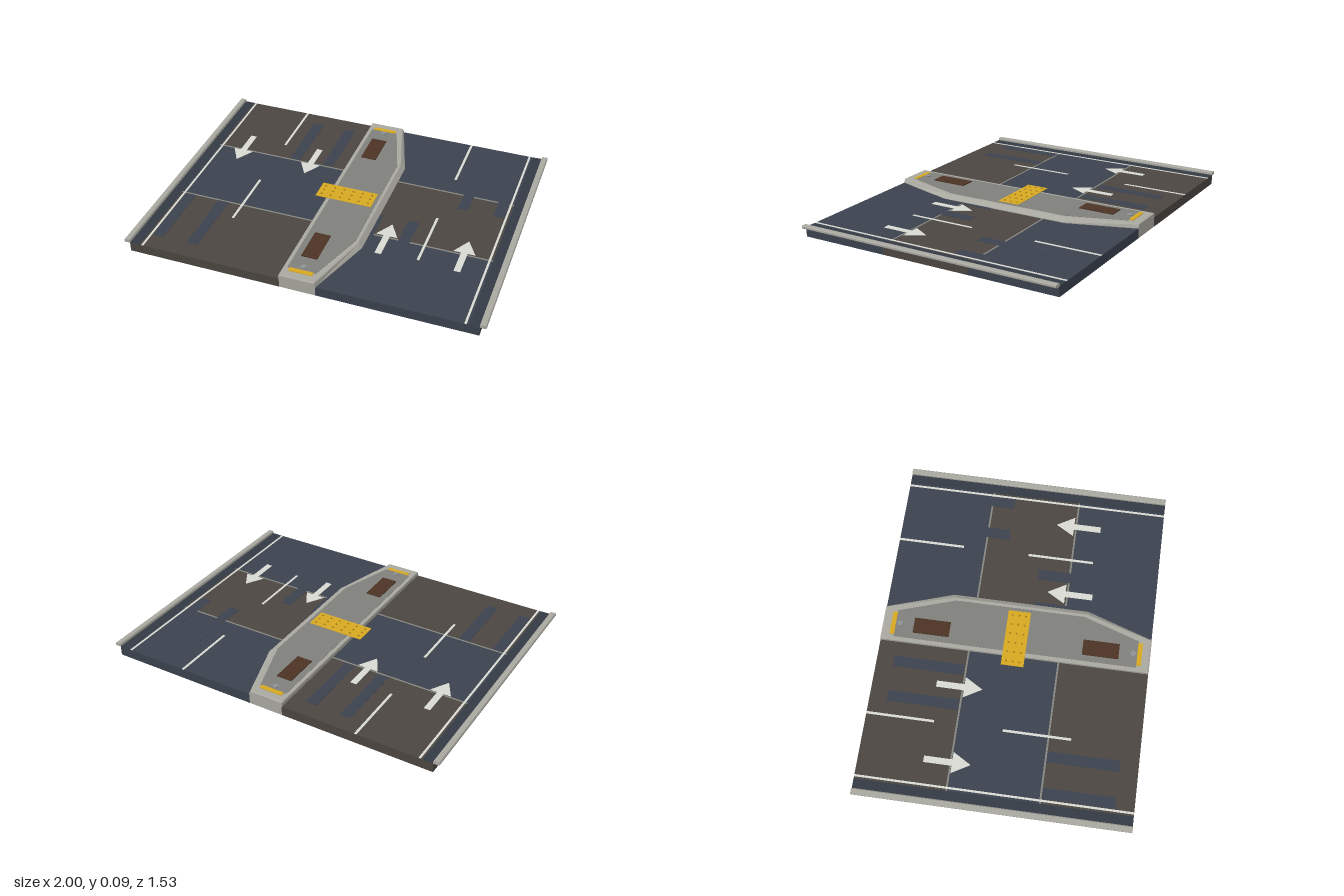
import * as THREE from 'three';

const mat = (color) => new THREE.MeshStandardMaterial({ color, side: THREE.FrontSide });
const BLUE = mat(0x3b424e), BROWN = mat(0x4b4641), KERB = mat(0xa9a8a0), PAVING = mat(0x7f807b);
const YELLOW = mat(0xd6a822), STUD = mat(0xa87f18), SOIL = mat(0x4c3325), PAINT = mat(0xd8d9d2);
const SEAM = mat(0x85857f), GUTTER = mat(0x343a45), METAL = mat(0x8d9294);

const HALF_Z = 0.763, ROAD = 0.055, TOP = 0.08;

export function createModel() {
  const model = new THREE.Group();
  model.name = 'roadSection';

  const add = (name, geometry, material) => {
    const mesh = new THREE.Mesh(geometry, material);
    mesh.name = name;
    model.add(mesh);
    return mesh;
  };
  // Box given by its limits on each axis
  const box = (name, material, x0, x1, y0, y1, z0, z1) => {
    const mesh = add(name, new THREE.BoxGeometry(x1 - x0, y1 - y0, z1 - z0), material);
    mesh.position.set((x0 + x1) / 2, (y0 + y1) / 2, (z0 + z1) / 2);
    return mesh;
  };
  // Flat-sided solid from stacked convex rings of [x, z], clockwise from above
  const stack = (name, material, rings) => {
    const p = [];
    const n = rings[0].points.length;
    const put = (r, i) => p.push(rings[r].points[i % n][0], rings[r].y, rings[r].points[i % n][1]);
    for (let r = 0; r < rings.length - 1; r++) {
      for (let i = 0; i < n; i++) {
        put(r, i + 1); put(r, i); put(r + 1, i);
        put(r, i + 1); put(r + 1, i); put(r + 1, i + 1);
      }
    }
    const last = rings.length - 1;
    for (let i = 1; i < n - 1; i++) {
      put(last, 0); put(last, i + 1); put(last, i);
      put(0, 0); put(0, i); put(0, i + 1);
    }
    const g = new THREE.BufferGeometry();
    g.setAttribute('position', new THREE.Float32BufferAttribute(p, 3));
    g.computeVertexNormals();
    return add(name, g, material);
  };

  // Road slabs in alternating colours on both sides of the median
  const cuts = [-HALF_Z, -0.255, 0.255, HALF_Z];
  for (const side of [-1, 1]) {
    for (let i = 0; i < 3; i++) {
      const brown = (i % 2 === 0) === (side < 0);
      const [a, b] = side < 0 ? [-0.967, -0.1] : [0.1, 0.967];
      box('roadSlab', brown ? BROWN : BLUE, a, b, 0, ROAD, cuts[i], cuts[i + 1]);
    }
    // Joints between slabs
    for (const z of [-0.255, 0.255]) {
      const [a, b] = side < 0 ? [-0.91, -0.1] : [0.1, 0.91];
      box('slabJoint', SEAM, a, b, ROAD - 0.002, ROAD + 0.001, z - 0.005, z + 0.005);
    }
    // Gutter, edge line and lane dashes
    const g = side * 0.938, e = side * 0.893, d = side * 0.535;
    box('gutter', GUTTER, g - 0.028, g + 0.028, ROAD - 0.002, ROAD + 0.001, -HALF_Z, HALF_Z);
    box('edgeLine', PAINT, e - 0.006, e + 0.006, ROAD, ROAD + 0.002, -HALF_Z, HALF_Z);
    for (const z of [-HALF_Z, 0]) {
      box('laneDash', PAINT, d - 0.007, d + 0.007, ROAD, ROAD + 0.002, z, z + 0.38);
    }
    // Outer kerb with bevelled upper edges
    const kerb = new THREE.Shape([
      [0.965, 0.053], [0.994, 0.053], [1, 0.058], [1, 0.067], [0.995, 0.072], [0.971, 0.072], [0.965, 0.067],
    ].map(([x, y]) => new THREE.Vector2(x, y)));
    const kg = new THREE.ExtrudeGeometry(kerb, { depth: 2 * HALF_Z, bevelEnabled: false });
    kg.translate(0, 0, -HALF_Z);
    if (side < 0) kg.rotateY(Math.PI);
    add('outerKerb', kg, KERB);
  }

  // Repair patches in the wheel tracks: centre x, centre z
  for (const [x, z] of [[-0.422, -0.465], [-0.217, -0.465], [-0.852, 0.46], [-0.648, 0.46],
    [0.648, -0.325], [0.852, -0.325], [0.42, 0.275], [0.215, 0.275]]) {
    box('roadPatch', BLUE, x - 0.031, x + 0.031, ROAD - 0.002, ROAD + 0.0016, z - 0.2, z + 0.2);
  }

  // Direction arrows
  const arrow = new THREE.Shape([
    [0, 0.13], [0.06, 0.027], [0.018, 0.027], [0.018, -0.13], [-0.018, -0.13], [-0.018, 0.027], [-0.06, 0.027],
  ].map(([x, y]) => new THREE.Vector2(x, y)));
  const arrowGeo = new THREE.ExtrudeGeometry(arrow, { depth: 0.002, bevelEnabled: false });
  arrowGeo.rotateX(-Math.PI / 2);
  for (const x of [-0.752, -0.318, 0.318, 0.752]) {
    const mesh = add('directionArrow', arrowGeo, PAINT);
    mesh.position.set(x, ROAD + 0.001, x < 0 ? -0.275 : 0.27);
    if (x < 0) mesh.rotation.y = Math.PI;
  }

  // Median: footing, island with sloped edge, inset paving
  const outline = (left, end, right, endZ, wideZ) => [
    [left, -endZ], [end, -endZ], [right, -wideZ], [right, wideZ], [end, endZ], [left, endZ],
  ];
  box('medianFooting', KERB, -0.1, 0.1, 0, ROAD, -HALF_Z, HALF_Z);
  stack('medianIsland', KERB, [
    { y: ROAD - 0.003, points: outline(-0.102, 0.103, 0.226, HALF_Z, 0.388) },
    { y: ROAD + 0.004, points: outline(-0.102, 0.103, 0.226, HALF_Z, 0.388) },
    { y: TOP - 0.003, points: outline(-0.102, 0.095, 0.204, HALF_Z, 0.385) },
    { y: TOP, points: outline(-0.098, 0.092, 0.2, 0.755, 0.383) },
  ]);
  stack('medianPaving', PAVING, [
    { y: TOP - 0.003, points: outline(-0.08, 0.078, 0.183, 0.69, 0.37) },
    { y: TOP + 0.002, points: outline(-0.08, 0.078, 0.183, 0.69, 0.37) },
  ]);

  // Fittings mirrored at both ends of the median
  for (const s of [-1, 1]) {
    const z = s * 0.4825;
    box('planterBed', SOIL, -0.045, 0.045, TOP, 0.087, z - 0.103, z + 0.103);
    box('warningStrip', YELLOW, -0.067, 0.067, TOP - 0.001, 0.084, s * 0.702 - 0.013, s * 0.702 + 0.013);
    const socket = add('postSocket', new THREE.CylinderGeometry(0.016, 0.016, 0.007, 16), METAL);
    socket.position.set(0, 0.0845, s * 0.665);
  }

  // Tactile crossing plate with rows of studs
  box('tactilePlate', YELLOW, -0.165, 0.165, 0.082, 0.084, -0.064, 0.064);
  const studGeo = new THREE.CylinderGeometry(0.005, 0.006, 0.004, 8);
  for (let i = 0; i < 6; i++) {
    for (let j = -1; j <= 1; j++) {
      add('tactileStud', studGeo, STUD).position.set((i - 2.5) * 0.0556, 0.086, j * 0.038);
    }
  }

  return model;
}
